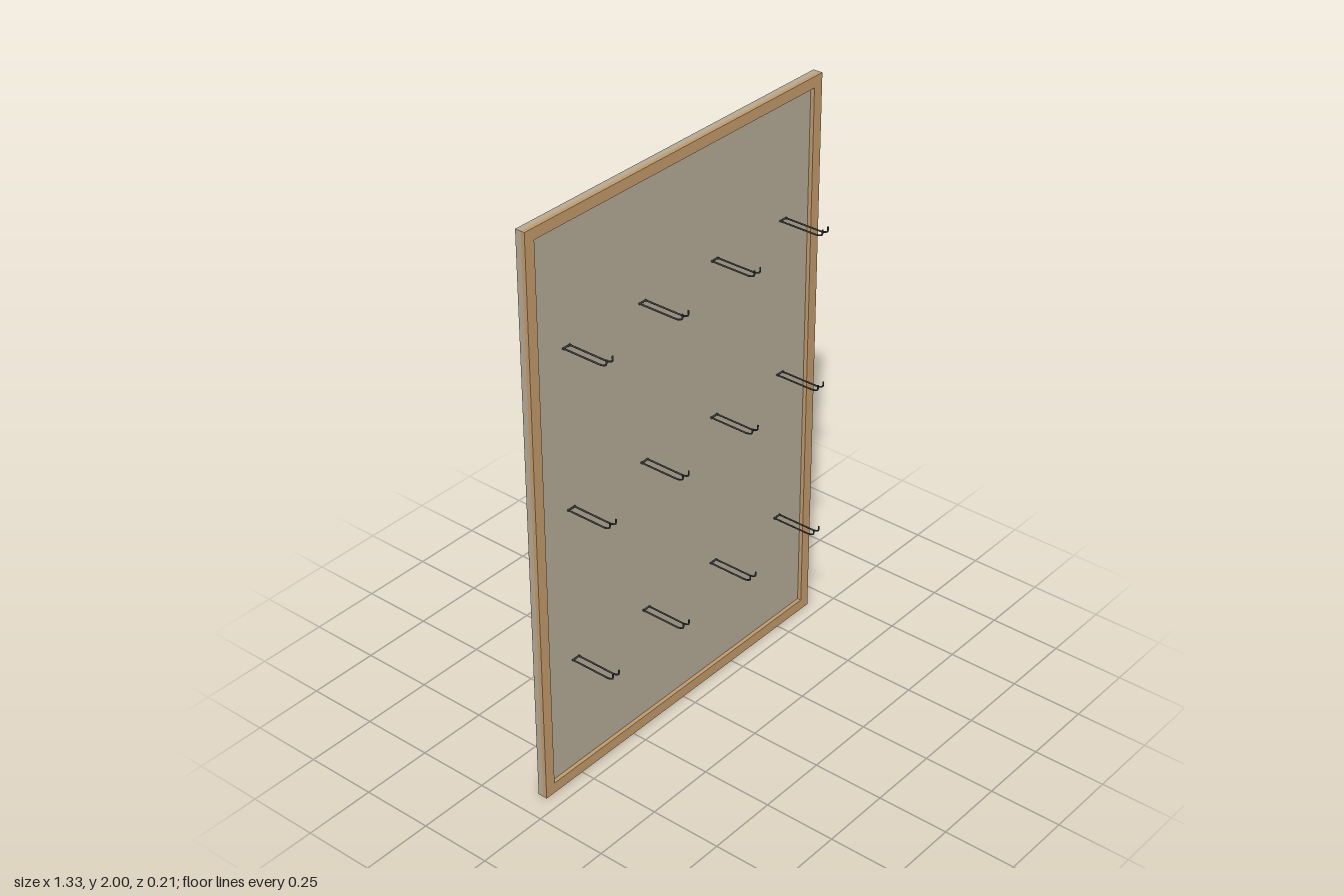
import * as THREE from 'three';

const W = 1.333, H = 2, RAIL = 0.038;
const Z_BACK = -0.084, Z_PANEL = -0.064, Z_FRONT = -0.05;

function material(name, color) {
  const m = new THREE.MeshStandardMaterial({ color });
  m.name = name;
  return m;
}

export function createModel() {
  const model = new THREE.Group();
  model.name = 'hookBoard';
  const board = material('board', 0xb4a994);
  const wood = material('wood', 0xc19a6b);
  const wire = material('darkWire', 0x3f4248);
  const rubber = material('darkSpacer', 0x4d5058);

  // Box from its centre in x and y and its depth range in z
  const box = (name, mat, w, h, x, y, z0, z1) => {
    const mesh = new THREE.Mesh(new THREE.BoxGeometry(w, h, z1 - z0), mat);
    mesh.position.set(x, y, (z0 + z1) / 2);
    mesh.name = name;
    model.add(mesh);
  };

  // Back panel and raised front frame
  box('panel', board, W, H, 0, H / 2, Z_BACK, Z_PANEL);
  box('topRail', wood, W, RAIL, 0, H - RAIL / 2, Z_PANEL, Z_FRONT);
  box('bottomRail', wood, W, RAIL, 0, RAIL / 2, Z_PANEL, Z_FRONT);
  for (const s of [-1, 1]) {
    box(s > 0 ? 'leftStile' : 'rightStile', wood, RAIL, H - 2 * RAIL,
      s * (W - RAIL) / 2, H / 2, Z_PANEL, Z_FRONT);
    // Wall spacers in the back corners
    for (const y of [0.102, H - 0.102]) {
      box('wallSpacer', rubber, 0.066, 0.066, s * 0.589, y, -0.104, Z_BACK);
    }
  }

  // Double-prong hook: two upturned wires joined by a bar at the panel
  const R = 0.0028, HALF = 0.0135;
  const prongPath = new THREE.CurvePath();
  const p = (y, z) => new THREE.Vector3(0, y, z);
  prongPath.add(new THREE.LineCurve3(p(0, Z_PANEL), p(0, 0.08)));
  prongPath.add(new THREE.QuadraticBezierCurve3(p(0, 0.08), p(0.004, 0.102), p(0.012, 0.102)));
  prongPath.add(new THREE.LineCurve3(p(0.012, 0.102), p(0.025, 0.102)));
  const prong = new THREE.TubeGeometry(prongPath, 32, R, 8);
  const tipCap = new THREE.CircleGeometry(R, 8).rotateX(-Math.PI / 2).translate(0, 0.025, 0.102);
  const bar = new THREE.CylinderGeometry(R, R, 2 * (HALF + R), 8)
    .rotateZ(Math.PI / 2).translate(0, 0, Z_PANEL + R);

  for (const y of [0.448, 1.004, 1.56]) {
    for (const x of [-0.5, -0.167, 0.167, 0.5]) {
      const hook = new THREE.Group();
      hook.name = 'hook';
      hook.position.set(x, y, 0);
      const add = (name, geometry, dx) => {
        const mesh = new THREE.Mesh(geometry, wire);
        mesh.position.x = dx;
        mesh.name = name;
        hook.add(mesh);
      };
      for (const s of [-1, 1]) {
        add('prong', prong, s * HALF);
        add('prongTip', tipCap, s * HALF);
      }
      add('hookBar', bar, 0);
      model.add(hook);
    }
  }
  return model;
}
